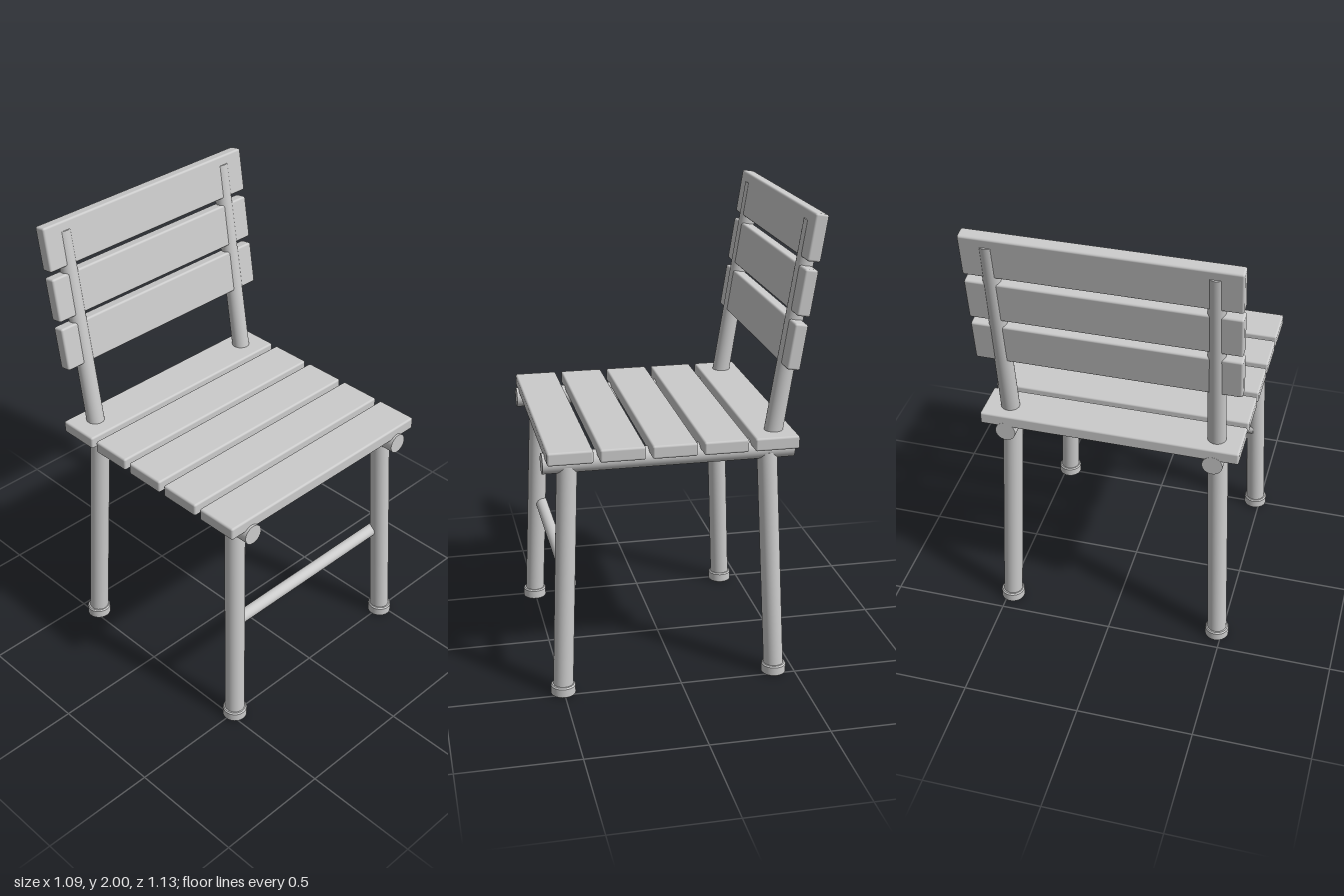
import * as THREE from 'three';
import { RoundedBoxGeometry } from 'three/addons/geometries/RoundedBoxGeometry.js';

const material = new THREE.MeshStandardMaterial({ color: 0xcccccc });
const UP = new THREE.Vector3(0, 1, 0);

export function createModel() {
  const chair = new THREE.Group();
  chair.name = 'chair';

  const add = (name, geometry, x, y, z) => {
    const mesh = new THREE.Mesh(geometry, material);
    mesh.name = name;
    mesh.position.set(x, y, z);
    chair.add(mesh);
    return mesh;
  };

  // Round bar between two points
  const bar = (name, from, to, rFrom, rTo = rFrom) => {
    const a = new THREE.Vector3(...from);
    const dir = new THREE.Vector3(...to).sub(a);
    const mid = a.clone().addScaledVector(dir, 0.5);
    const mesh = add(name, new THREE.CylinderGeometry(rTo, rFrom, dir.length(), 32), mid.x, mid.y, mid.z);
    mesh.quaternion.setFromUnitVectors(UP, dir.normalize());
  };

  // Seat slats
  const seatSlat = new RoundedBoxGeometry(1.09, 0.055, 0.185, 2, 0.009);
  for (let i = 0; i < 5; i++) add('seatSlat', seatSlat, 0, 1.068, 0.462 - i * 0.2115);

  // Backrest slats, leaning back along the posts
  const lean = THREE.MathUtils.degToRad(9);
  const postZ = (y) => -0.393 - Math.tan(lean) * (y - 1.09);
  const backSlat = new RoundedBoxGeometry(1.09, 0.189, 0.055, 2, 0.009);
  for (const y of [1.468, 1.685, 1.902]) {
    add('backSlat', backSlat, 0, y, postZ(y)).rotation.x = -lean;
  }

  // Rubber foot with softly rounded rims
  const foot = new THREE.LatheGeometry(
    [[0, 0], [0.046, 0], [0.046, 0], [0.052, 0.005], [0.052, 0.005], [0.052, 0.041],
      [0.052, 0.041], [0.047, 0.047], [0.047, 0.047], [0, 0.047]]
      .map(([r, y]) => new THREE.Vector2(r, y)), 32);

  for (const [side, s] of [['left', 1], ['right', -1]]) {
    // Seat rail and backrest post
    bar(side + 'SeatRail', [s * 0.438, 1.017, -0.477], [s * 0.438, 1.017, 0.565], 0.043);
    bar(side + 'BackPost', [s * 0.438, 1.02, postZ(1.02)], [s * 0.438, 1.955, postZ(1.955)], 0.039, 0.035);

    // Splayed legs with feet
    for (const [end, zTop, zFoot] of [['Front', 0.463, 0.503], ['Back', -0.368, -0.411]]) {
      bar(side + end + 'Leg', [s * 0.478, 0.02, zFoot], [s * 0.44, 1.005, zTop], 0.042);
      add(side + end + 'Foot', foot, s * 0.478, 0, zFoot);
    }
  }

  // Stretcher between the front legs
  bar('stretcher', [-0.455, 0.49, 0.463], [0.455, 0.49, 0.463], 0.027);

  return chair;
}
